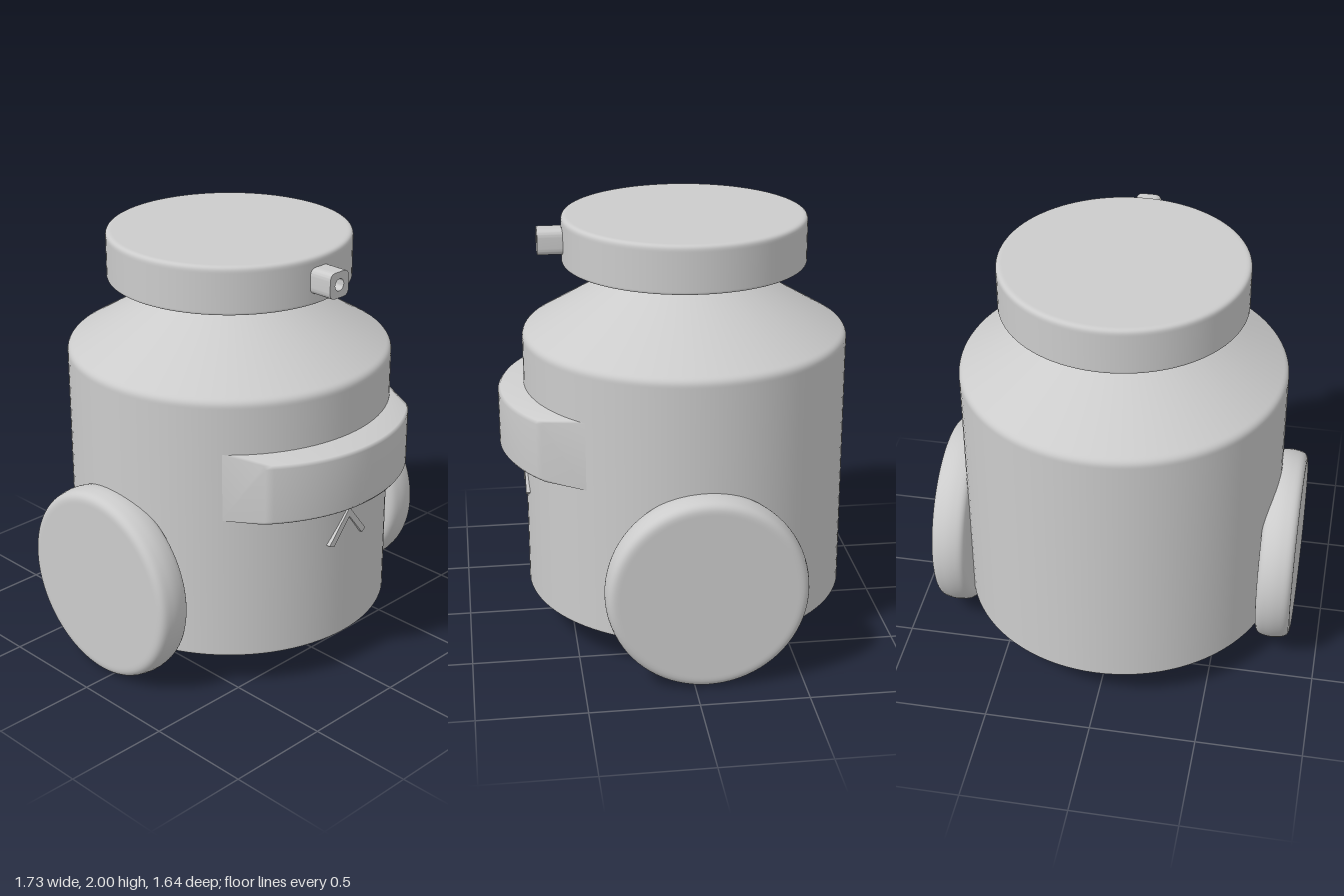
import * as THREE from 'three';
import { toCreasedNormals } from 'three/addons/utils/BufferGeometryUtils.js';

const AXIS_Z = -0.06;
const mat = new THREE.MeshStandardMaterial({ color: 0xcccccc, side: THREE.DoubleSide });

function add(parent, name, geometry) {
  const mesh = new THREE.Mesh(geometry, mat);
  mesh.name = name;
  parent.add(mesh);
  return mesh;
}

// Lathe from [radius, height, fillet] corners; support points keep the flats flat
function turned(corners, segments = 96) {
  const v = corners.map(([x, y]) => new THREE.Vector2(x, y));
  const pts = [v[0]];
  for (let i = 1; i < v.length - 1; i++) {
    const r = corners[i][2];
    const a = v[i - 1].clone().sub(v[i]).normalize();
    const b = v[i + 1].clone().sub(v[i]).normalize();
    const at = (d, k) => v[i].clone().addScaledVector(d, k);
    const curve = new THREE.QuadraticBezierCurve(at(a, r), v[i], at(b, r));
    pts.push(at(a, r * 1.25), ...curve.getPoints(6), at(b, r * 1.25));
  }
  pts.push(v[v.length - 1]);
  return new THREE.LatheGeometry(pts, segments);
}

// Curved front panel: cross-sections swept along the body, tapering to the front
function visorGeometry() {
  const n = 32, pos = [], idx = [];
  for (let i = 0; i <= n; i++) {
    const t = (i / n) * 2 - 1;
    const xi = 0.56 * t, zi = Math.sqrt(0.757 ** 2 - xi * xi) + AXIS_Z;
    const xo = 0.48 * t, zo = Math.sqrt(0.746 ** 2 - xo * xo) + 0.075;
    pos.push(xi, 0.88, zi, xo, 0.9, zo - 0.012, xo, 0.915, zo,
      xo, 1.17, zo, xo, 1.185, zo - 0.012, xi, 1.205, zi);
  }
  for (let i = 0; i < n; i++) for (let j = 0; j < 5; j++) {
    const a = i * 6 + j, b = a + 6;
    idx.push(a, b, b + 1, a, b + 1, a + 1);
  }
  // End walls
  const e = n * 6;
  for (let j = 1; j < 5; j++) idx.push(0, j, j + 1, e, e + j + 1, e + j);
  const g = new THREE.BufferGeometry();
  g.setAttribute('position', new THREE.Float32BufferAttribute(pos, 3));
  g.setIndex(idx);
  g.computeVertexNormals();
  return g;
}

export function createModel() {
  const model = new THREE.Group();
  model.name = 'robot';

  // Barrel with sloping shoulders and a pinched neck
  add(model, 'body', turned([
    [0, 0.18], [0.76, 0.18, 0.012], [0.76, 1.45, 0.025],
    [0.275, 1.74, 0.025], [0.33, 1.785, 0.02], [0, 1.785],
  ])).position.z = AXIS_Z;

  // Disc head
  add(model, 'head', turned([
    [0, 1.778], [0.567, 1.778, 0.012], [0.567, 2, 0.025], [0, 2],
  ])).position.z = AXIS_Z;

  // Short square snout with a round bore
  const s = 0.06, r = 0.035;
  const square = new THREE.Shape();
  square.moveTo(s, -s + r);
  [[1, 1], [-1, 1], [-1, -1], [1, -1]].forEach(([x, y]) => {
    const first = x * y > 0;
    const start = first ? [x * s, y * (s - r)] : [x * (s - r), y * s];
    const end = first ? [x * (s - r), y * s] : [x * s, y * (s - r)];
    square.lineTo(...start);
    square.quadraticCurveTo(x * s, y * s, ...end);
  });
  square.holes.push(new THREE.Path().absarc(0, 0, 0.028, 0, Math.PI * 2, true));
  const snout = new THREE.ExtrudeGeometry(square, { depth: 0.17, bevelEnabled: false, curveSegments: 10 });
  add(model, 'snout', toCreasedNormals(snout, 0.7)).position.set(0, 1.89, 0.45);

  // Front panel
  add(model, 'visor', visorGeometry());

  // Thin raised chevron below the panel
  const chevron = new THREE.Shape([
    [-0.122, 0.682], [-0.09, 0.668], [0.01, 0.79], [0.1, 0.675], [0.122, 0.692], [0.01, 0.836],
  ].map(([x, y]) => new THREE.Vector2(x, y)));
  add(model, 'chevron', new THREE.ExtrudeGeometry(chevron, { depth: 0.05, bevelEnabled: false }))
    .position.z = 0.66;

  // Pair of wheels
  const wheel = turned([
    [0, 0], [0.45, 0, 0.04], [0.465, 0.08, 0.03], [0.45, 0.165, 0.04], [0, 0.165],
  ], 80);
  for (const side of [1, -1]) {
    const mesh = add(model, side > 0 ? 'leftWheel' : 'rightWheel', wheel);
    mesh.rotation.z = -side * Math.PI / 2;
    mesh.position.set(side * 0.702, 0.465, AXIS_Z);
  }
  return model;
}
